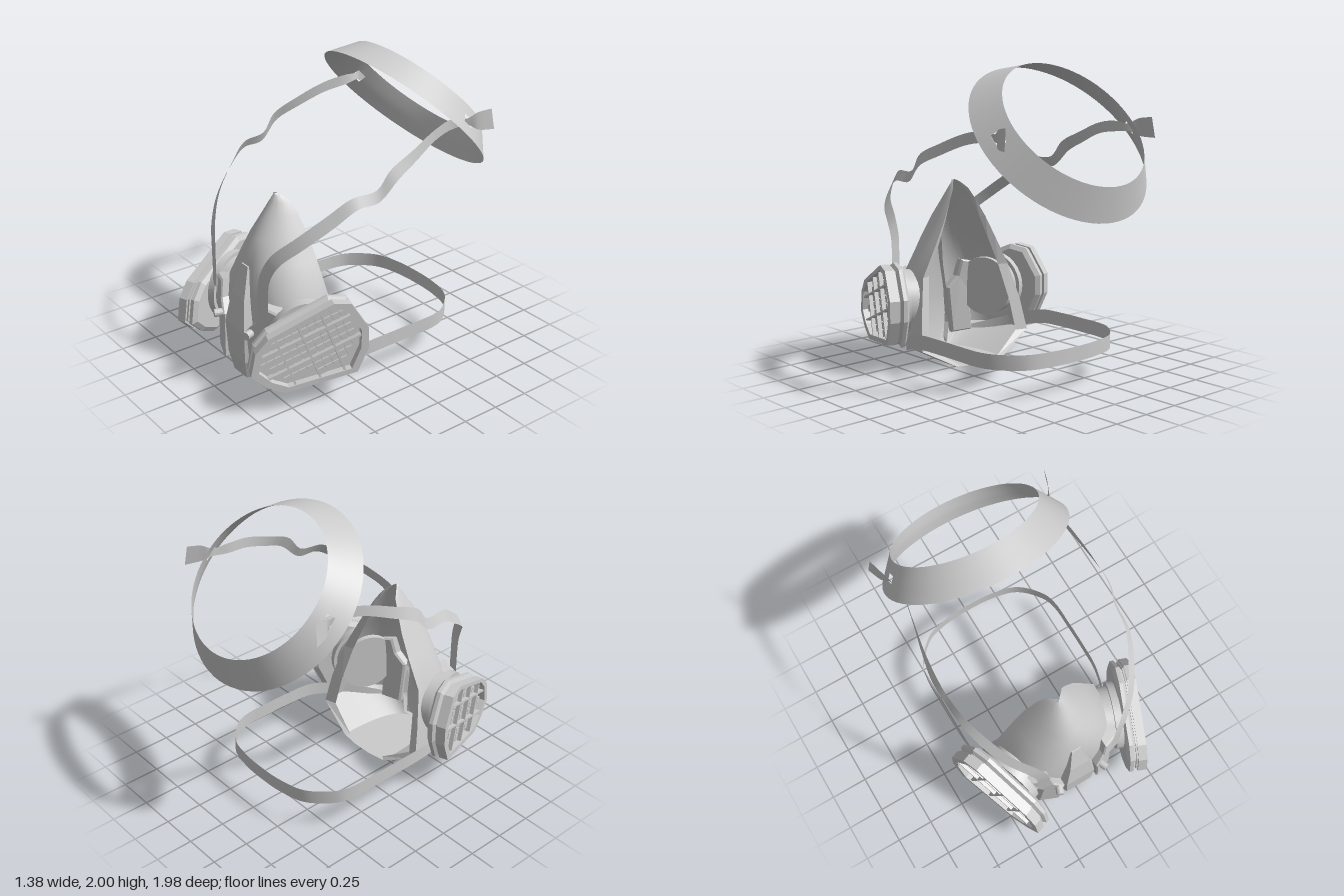
import * as THREE from 'three';
import { mergeGeometries, toCreasedNormals } from 'three/addons/utils/BufferGeometryUtils.js';

const V = (x, y, z) => new THREE.Vector3(x, y, z);
const smooth = new THREE.MeshStandardMaterial({ color: 0xcccccc, side: THREE.DoubleSide });
const flat = new THREE.MeshStandardMaterial({ color: 0xcccccc, side: THREE.DoubleSide, flatShading: true });

function add(parent, name, geometry, material = smooth) {
  const mesh = new THREE.Mesh(geometry, material);
  mesh.name = name;
  parent.add(mesh);
  return mesh;
}

// Surface through rows of points; skip(i, j) leaves a cell open
function grid(rows, closed = false, skip = () => false) {
  const n = rows[0].length, index = [];
  for (let i = 0; i < rows.length - 1; i++) {
    for (let j = 0; j < (closed ? n : n - 1); j++) {
      if (skip(i, j)) continue;
      const a = i * n + j, b = i * n + (j + 1) % n;
      index.push(a, b, a + n, b, b + n, a + n);
    }
  }
  const g = new THREE.BufferGeometry().setFromPoints(rows.flat());
  g.setIndex(index);
  g.computeVertexNormals();
  return g;
}

// Strap through rows of [centre xyz, half-width xyz]
function ribbon(rows, steps) {
  const edges = [-1, 1].map(s => new THREE.CatmullRomCurve3(
    rows.map(r => V(r[0] + s * r[3], r[1] + s * r[4], r[2] + s * r[5]))));
  const out = [];
  for (let i = 0; i <= steps; i++) out.push(edges.map(e => e.getPoint(i / steps)));
  return grid(out);
}

const shapeOf = pts => new THREE.Shape(pts.map(p => new THREE.Vector2(p[0], p[1])));
const scaled = (pts, s) => pts.map(p => [p[0] * s, p[1] * s]);

// Filter outline, in its own plane
const outline = [[-.38, -.14], [-.35, .01], [-.27, .1], [.14, .28], [.25, .26],
  [.36, .08], [.36, -.06], [.29, -.22], [-.17, -.29], [-.29, -.23]].reverse();
const opening = scaled(outline, .87);
const inside = (x, y, m = 0) => opening.every((p, i) => {
  const q = opening[(i + 1) % opening.length];
  const dx = q[0] - p[0], dy = q[1] - p[1];
  return (dx * (y - p[1]) - dy * (x - p[0])) / Math.hypot(dx, dy) > m;
});

function buildFilter() {
  const filter = new THREE.Group();
  filter.name = 'filter';
  const frame = shapeOf(outline);
  frame.holes.push(new THREE.Path(opening.map(p => new THREE.Vector2(p[0], p[1]))));
  add(filter, 'filterFrame', new THREE.ExtrudeGeometry(frame, { depth: .06, bevelEnabled: false }), flat)
    .position.z = -.06;
  add(filter, 'filterSeam', new THREE.ExtrudeGeometry(shapeOf(scaled(outline, .96)),
    { depth: .025, bevelEnabled: false }), flat).position.z = -.072;
  add(filter, 'filterBody', new THREE.ExtrudeGeometry(shapeOf(scaled(outline, .91)),
    { depth: .025, bevelThickness: .02, bevelSize: .03, bevelSegments: 1 }), flat).position.z = -.117;

  // Tilted grille: small pads behind, heavy bars in front
  const angle = .35, c = Math.cos(angle), s = Math.sin(angle);
  const place = (u, v) => [u * c - v * s, u * s + v * c];
  const pads = [];
  for (let i = -8; i <= 8; i++) for (let j = -6; j <= 6; j++) {
    const [x, y] = place(i * .052, j * .052);
    if (inside(x, y, .018)) {
      pads.push(new THREE.BoxGeometry(.043, .043, .016).rotateZ(angle).translate(x, y, -.042));
    }
  }
  add(filter, 'grillePads', mergeGeometries(pads), flat);
  const bars = [];
  const bar = (offset, along) => {
    const hits = [];
    for (let t = -.5; t <= .5; t += .005) {
      if (inside(...(along ? place(t, offset) : place(offset, t)))) hits.push(t);
    }
    const a = hits[0] - .01, b = hits[hits.length - 1] + .01, mid = (a + b) / 2;
    const [x, y] = along ? place(mid, offset) : place(offset, mid);
    bars.push(new THREE.BoxGeometry(along ? b - a : .013, along ? .013 : b - a, .035)
      .rotateZ(angle).translate(x, y, -.025));
  };
  [-.078, .078].forEach(o => bar(o, true));
  [-.182, -.026, .13].forEach(o => bar(o, false));
  add(filter, 'grilleBars', mergeGeometries(bars), flat);

  // Neck into the face piece
  [[.23, -.16, .05], [.205, -.215, .13]].forEach(([r, z, h]) =>
    add(filter, 'filterNeck', toCreasedNormals(
      new THREE.CylinderGeometry(r, r, h, 32).rotateX(Math.PI / 2), .6)).position.z = z);
  filter.position.set(.563, .42, .64);
  filter.rotation.y = 1.215;
  return filter;
}

function buildSide() {
  const side = new THREE.Group();
  side.add(buildFilter());

  // Cheek plate, slanted to follow the mask
  const plate = new THREE.ExtrudeGeometry(shapeOf([[.16, .09], [.28, .1], [.27, .25], [.26, .38],
    [.32, .5], [.33, .57], [.22, .59], [.2, .48], [.135, .4]]),
  { depth: .09, bevelThickness: .012, bevelSize: .01, bevelSegments: 1 });
  const p = plate.attributes.position;
  for (let i = 0; i < p.count; i++) {
    const x = p.getX(i), y = p.getY(i);
    p.setZ(i, p.getZ(i) + .745 - (x - .1) * .4 - Math.max(0, y - .45) * .1);
  }
  add(side, 'cheekPlate', plate, flat);
  const stud = add(side, 'stud', new THREE.CylinderGeometry(.026, .026, .06, 16).rotateX(Math.PI / 2), flat);
  stud.position.set(.172, .4, .84);
  stud.rotation.y = .36;

  // Lower strap buckle
  const buckle = add(side, 'buckle', new THREE.BoxGeometry(.08, .035, .04), flat);
  buckle.position.set(.24, .055, .745);
  buckle.rotation.set(.3, .4, 0);

  // Head strap, ending in a loose tab pulled through the band slot
  add(side, 'headStrap', ribbon([
    [.27, .54, .8, .04, 0, -.012], [.275, .68, .795, .04, 0, -.012], [.285, .81, .788, .039, -.008, -.01],
    [.34, .94, .75, .034, -.022, -.006], [.45, 1.07, .64, .03, -.027, -.006],
    [.54, 1.2, .48, .028, -.028, -.008], [.59, 1.295, .34, .02, -.03, -.01],
    [.608, 1.31, .18, .013, -.034, 0], [.62, 1.42, .07, .014, -.03, -.02],
    [.6, 1.495, -.1, .006, -.034, -.01], [.56, 1.57, -.3, 0, -.034, -.005],
    [.535, 1.595, -.46, 0, -.034, 0], [.56, 1.592, -.565, 0, -.025, -.01],
    [.59, 1.595, -.62, .005, -.055, 0], [.622, 1.598, -.715, .01, -.066, -.006]], 90));
  return side;
}

export function createModel() {
  const model = new THREE.Group();

  // Face piece: [height, rim x, rim z, front z, squareness], open at the back with an inturned lip
  const rows = [[0, .2, .225, .74, .7], [.14, .46, .27, .77, .65], [.35, .43, .31, .78, .65],
    [.6, .37, .37, .76, .75], [.8, .26, .375, .73, .9], [.95, .18, .385, .675, 1],
    [1.08, .108, .41, .585, 1], [1.15, .065, .43, .54, 1], [1.19, .03, .47, .515, 1], [1.205, .008, .49, .5, 1]];
  const section = ([y, rx, zr, zf, p]) => {
    const pts = [];
    for (let i = 0; i <= 32; i++) {
      const t = Math.PI * i / 32, c = Math.cos(t);
      pts.push(V(Math.sign(c) * rx * Math.abs(c) ** p, y, zr + (zf - zr) * Math.max(0, Math.sin(t)) ** p));
    }
    return pts;
  };
  add(model, 'facePiece', toCreasedNormals(grid(rows.map(section)), .6));
  [-1, 1].forEach(s => add(model, 'faceSeal', grid(rows.map(([y, rx, zr]) =>
    [V(s * rx, y, zr), V(s * rx * .82, y, zr + .025)])), flat));
  const floor = section(rows[0]).map(v => [v.x, -v.z]);
  floor.push([-.07, -.205], [.07, -.205]);
  add(model, 'chinFloor', new THREE.ShapeGeometry(shapeOf(floor)).rotateX(-Math.PI / 2), flat);

  // Raised centre panel: [height, outer half width, inner half width, outer z, inner z]
  const ridge = [[.78, .042, .034, .69, .742], [.58, .085, .072, .73, .8], [.37, .132, .108, .75, .832],
    [.15, .14, .095, .74, .825], [.02, .1, .072, .71, .8]];
  add(model, 'centrePanel', grid(ridge.map(([y, wo, wi, zo, zi]) =>
    [V(-wo, y, zo), V(-wi, y, zi), V(wi, y, zi), V(wo, y, zo)])), flat);
  [ridge[0], ridge[4]].forEach(([y, wo, wi, zo, zi]) => add(model, 'panelEnd',
    grid([[V(-wo, y, zo), V(wo, y, zo)], [V(-wi, y, zi), V(wi, y, zi)]]), flat));

  // Mirrored sides
  const left = buildSide(), right = buildSide();
  left.name = 'leftSide';
  right.name = 'rightSide';
  right.scale.x = -1;
  model.add(left, right);

  // Tapered head band with a strap slot at each side, in two thin layers
  const N = 72;
  const slot = (i, j) => i === 1 && [N - 1, 0, N / 2 - 1, N / 2].includes(j);
  [['headBand', 0], ['headBandLining', .01]].forEach(([name, inset]) => {
    const bandRows = [0, .36, .64, 1].map(v => Array.from({ length: N }, (_, j) => {
      const a = j / N * Math.PI * 2, r = .62 - .13 * v - inset * Math.sin(Math.PI * v);
      return V(r * Math.cos(a), (v - .5) * .177, r * Math.sin(a));
    }));
    const band = add(model, name, grid(bandRows, true, slot));
    band.position.set(0, 1.592, -.578);
    band.rotation.x = -Math.PI / 4;
  });

  // Neck strap looping behind
  const half = [[.2, .06, .77, 0, .03, .01], [.33, .1, .62, 0, .04, .01], [.46, .17, .42, 0, .045, 0],
    [.525, .23, .2, 0, .048, 0], [.535, .24, 0, 0, .048, 0], [.535, .24, -.2, 0, .048, 0],
    [.53, .24, -.36, 0, .048, 0], [.5, .24, -.46, 0, .048, 0], [.36, .24, -.61, 0, .048, 0],
    [.18, .24, -.66, 0, .048, 0]];
  const mirrored = half.map(r => [-r[0], ...r.slice(1)]).reverse();
  add(model, 'neckStrap', ribbon([...half, [0, .24, -.67, 0, .048, 0], ...mirrored], 100));
  return model;
}
